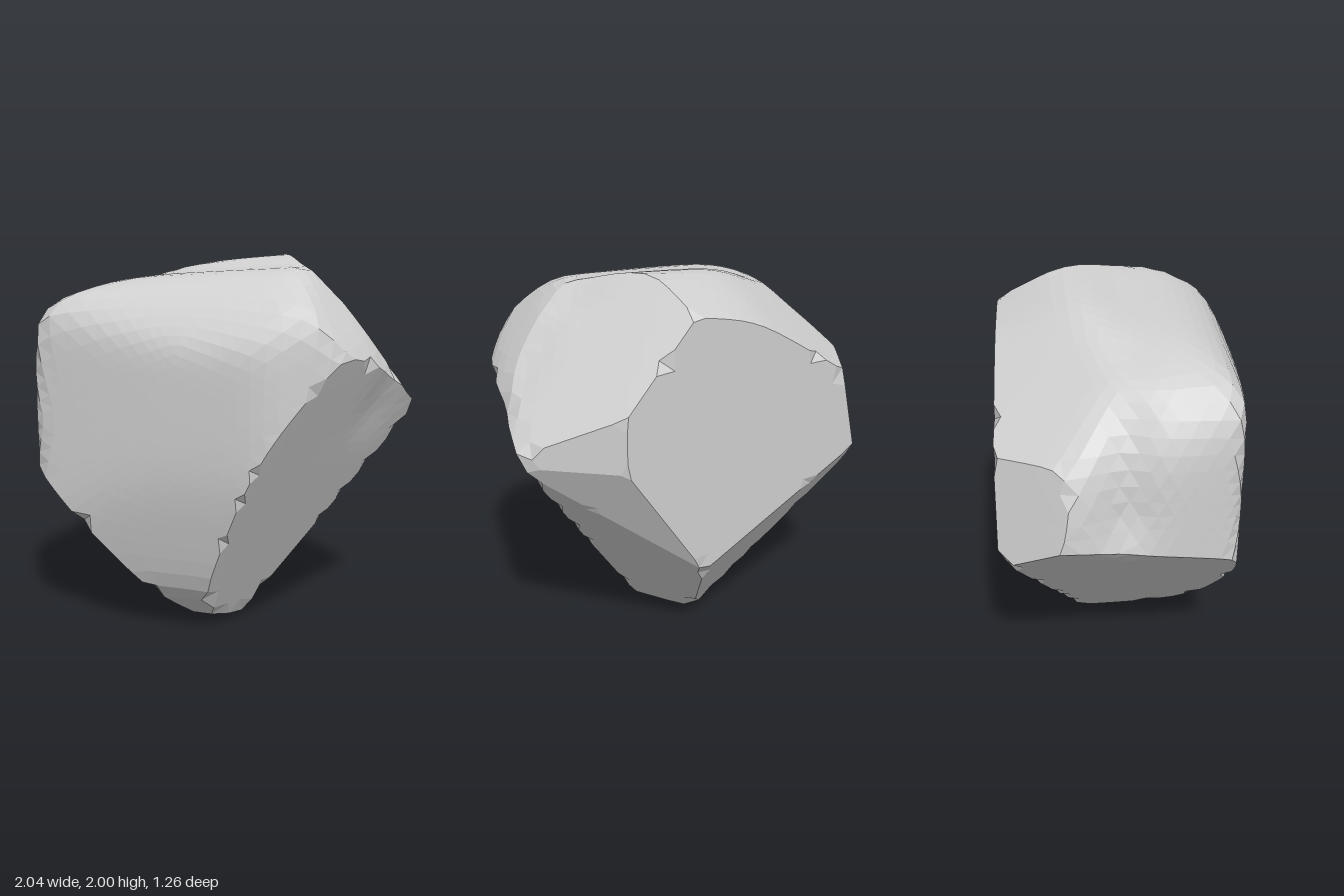
import * as THREE from 'three';

// Each face: outward normal, then a point it passes through
const ROUNDED = [
  // front
  [0, -0.03, 1, 0, 1.3, 0.635], [0, -0.25, 0.97, 0, 0.6, 0.55],
  [0.4, 0, 0.92, 0.65, 1.4, 0.55], [0.8, 0, 0.6, 0.89, 1.4, 0.38],
  [-0.14, 0, 0.99, -0.5, 1.3, 0.59], [0, 0.5, 0.87, 0, 1.71, 0.56],
  [0, -0.75, 0.66, 0, 0.15, 0.34],
  // crown
  [0, 0.85, 0.53, 0, 1.86, 0.41], [-0.06, 1, 0.16, 0.2, 2.02, -0.28],
  [-0.15, 0.88, -0.42, 0.1, 1.84, -0.625], [-0.35, 0.93, 0, -0.45, 1.91, 0],
  [-0.45, 0.75, -0.43, -0.4, 1.62, -0.625],
  // left side
  [-0.81, 0.58, 0, -0.87, 1.64, 0], [-0.96, 0.28, 0, -0.97, 1.45, 0],
  [-0.98, 0, 0.17, -1.02, 1.2, -0.3], [-0.94, 0, 0.34, -0.89, 1.3, 0.42],
  // right shoulder
  [0.75, 0.64, 0.15, 0.77, 1.7, 0.15], [0.95, 0.3, 0.1, 0.96, 1.42, 0.1],
];
const CUTS = [
  [0, 0, -1, 0, 1, -0.625],                    // flat back
  [-0.245, -0.535, -0.805, 0.145, 0.54, -0.625], // lower back
  [-0.73, -0.68, 0, 0, 0, 0],                  // lower left
  [0.787, -0.445, 0.427, 0.57, 1.2, 0.56],     // lower right
  [0.6, -0.57, -0.37, 1, 1.16, -0.31],         // lower right back
  [0.62, -0.43, -0.66, 0.65, 1.17, -0.625],    // lower right back corner
  [0.69, 0.64, -0.35, 0.42, 1.96, -0.15],      // upper right back
  [0.68, 0, -0.73, 0.65, 1.17, -0.625],        // right back
  [-0.79, 0.2, -0.58, -0.8, 1.1, -0.61],       // left back
  [0, -1, 0.15, 0, 0.045, 0.1],                // base
];
const CENTRE = new THREE.Vector3(0, 1.15, 0);
const SHARPNESS = 30;

// Plane as a vector q, so that q.dot(point - CENTRE) = 1 on the plane
const toPlane = ([nx, ny, nz, px, py, pz]) => {
  const n = new THREE.Vector3(nx, ny, nz);
  return n.divideScalar(n.dot(new THREE.Vector3(px, py, pz).sub(CENTRE)));
};
const soft = ROUNDED.map(toPlane);
const hard = CUTS.map(toPlane);

// Blend of the rounded faces, as one tangent plane for this direction
// (a zero vector where no rounded face looks that way)
function bodyPlane(dir) {
  const values = soft.map((q) => Math.max(0, q.dot(dir)));
  const plane = new THREE.Vector3();
  const largest = Math.max(...values);
  if (largest < 0.01) return plane;
  const sum = values.reduce((s, v) => s + (v / largest) ** SHARPNESS, 0);
  const norm = largest * sum ** (1 / SHARPNESS);
  soft.forEach((q, i) => plane.addScaledVector(q, (values[i] / norm) ** (SHARPNESS - 1)));
  return plane;
}

// The planes at this direction, nearest first
const ranked = (dir) => [bodyPlane(dir), ...hard].sort((a, b) => b.dot(dir) - a.dot(dir));

const bump = (v, at, width) => Math.exp(-(((v - at) / width) ** 2));

function rockGeometry() {
  const geo = new THREE.IcosahedronGeometry(1, 13);
  const pos = geo.attributes.position;
  const p = new THREE.Vector3();
  const { smoothstep } = THREE.MathUtils;
  for (let i = 0; i < pos.count; i++) {
    p.fromBufferAttribute(pos, i).normalize();
    // slide vertices near a crease onto it
    const [first, second] = ranked(p);
    const across = first.clone().sub(second);
    const offset = across.dot(p) / across.lengthSq();
    if (offset * across.length() < 0.036) p.addScaledVector(across, -offset).normalize();
    p.divideScalar(ranked(p)[0].dot(p)).add(CENTRE);
    // shallow hollows in the left side, right side and crown
    const side = smoothstep(p.y, 0.95, 1.25) * smoothstep(Math.abs(p.x), 0.6, 0.9);
    p.x += side * (p.x < 0 ? 0.06 * bump(p.z, -0.02, 0.13) : -0.02 * bump(p.z, 0, 0.12));
    p.y -= 0.025 * smoothstep(p.y, 1.75, 1.9) * bump(p.z, 0.03, 0.14);
    pos.setXYZ(i, p.x, p.y, p.z);
  }
  geo.computeVertexNormals();
  return geo;
}

export function createModel() {
  const stone = new THREE.MeshStandardMaterial({ color: 0xd0d0d0, flatShading: true });
  stone.name = 'grey stone';
  const rock = new THREE.Mesh(rockGeometry(), stone);
  rock.name = 'rock';
  const group = new THREE.Group();
  group.name = 'boulder';
  group.add(rock);
  return group;
}
